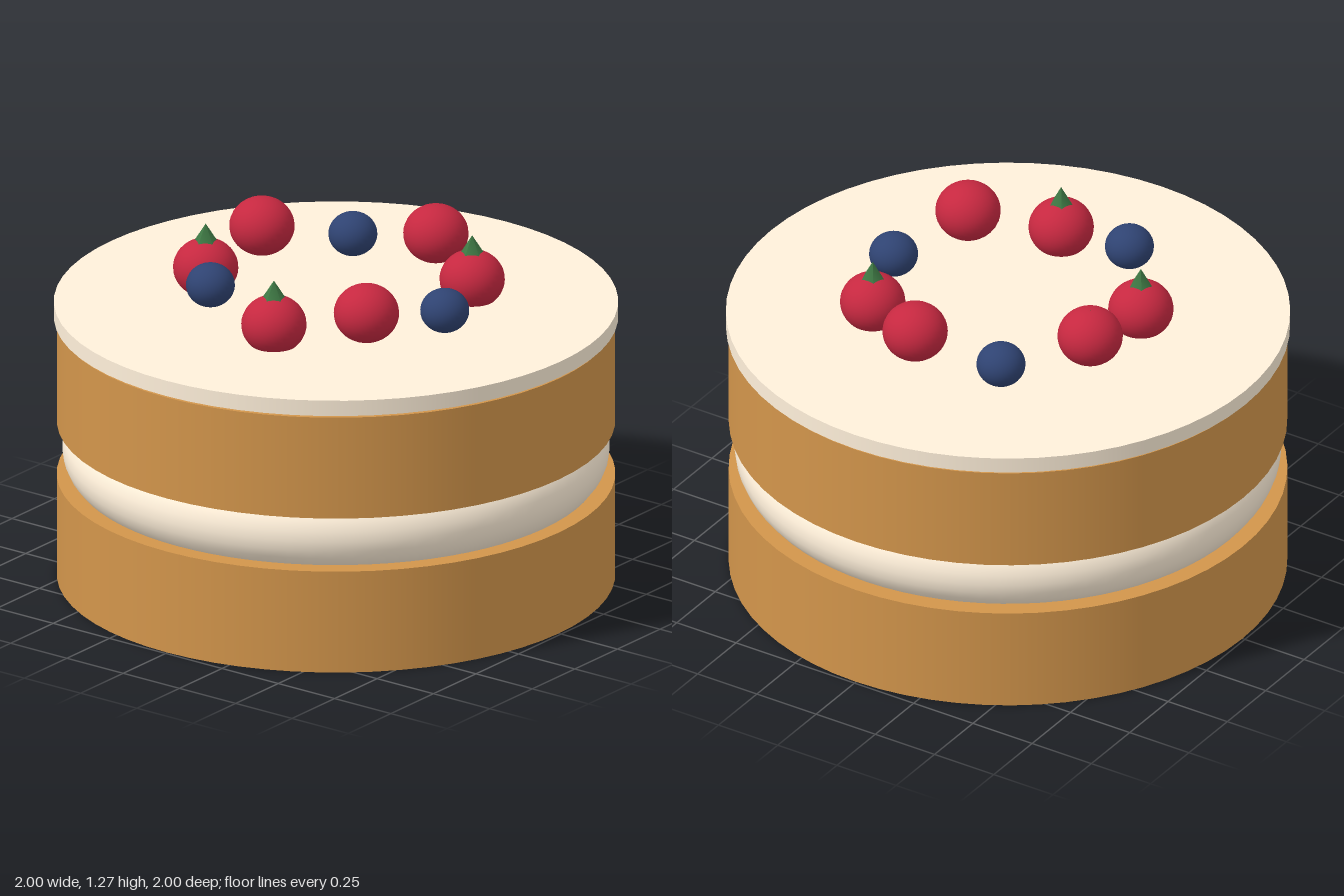
import * as THREE from 'three';

const mat = (color) => new THREE.MeshStandardMaterial({ color });

export function createModel() {
  const cake = new THREE.Group();
  cake.name = 'layerCake';
  const sponge = mat(0xd2954b), cream = mat(0xfff0da);
  const red = mat(0xc62840), blue = mat(0x2f4372), green = mat(0x3f7a45);

  const add = (parent, name, geometry, material, x, y, z) => {
    const mesh = new THREE.Mesh(geometry, material);
    mesh.name = name;
    mesh.position.set(x, y, z);
    parent.add(mesh);
    return mesh;
  };

  // Two sponge layers with a bulging cream filling between them
  const layer = new THREE.CylinderGeometry(0.99, 0.99, 0.382, 64);
  add(cake, 'lowerSponge', layer, sponge, 0, 0.191, 0);
  add(cake, 'upperSponge', layer, sponge, 0, 0.774, 0);
  const filling = new THREE.TorusGeometry(0.83, 0.14, 24, 80).rotateX(Math.PI / 2);
  add(cake, 'creamFilling', filling, cream, 0, 0.485, 0);

  // Icing disc, just clear of the upper sponge
  add(cake, 'icing', new THREE.CylinderGeometry(1, 1, 0.058, 64), cream, 0, 1.004, 0);

  // Ring of nine berries at alternating heights; every third is a blueberry
  const strawberry = new THREE.SphereGeometry(0.116, 32, 20).scale(1, 0.91, 1);
  const blueberry = new THREE.SphereGeometry(0.087, 32, 20).scale(1, 0.91, 1);
  const leaf = new THREE.ConeGeometry(0.05, 0.08, 5);
  const berries = new THREE.Group();
  berries.name = 'berryRing';
  cake.add(berries);
  for (let i = 0; i < 9; i++) {
    const a = (i / 9) * Math.PI * 2;
    const x = 0.483 * Math.cos(a), z = 0.483 * Math.sin(a);
    const y = 1.108 + (i % 2) * 0.058;
    if (i % 3 === 0) {
      add(berries, 'blueberry', blueberry, blue, x, y, z);
    } else {
      add(berries, 'strawberry', strawberry, red, x, y, z);
      // Leaf caps share one height, so they sink into the raised berries
      add(berries, 'strawberryLeaf', leaf, green, x, 1.233, z);
    }
  }
  return cake;
}
